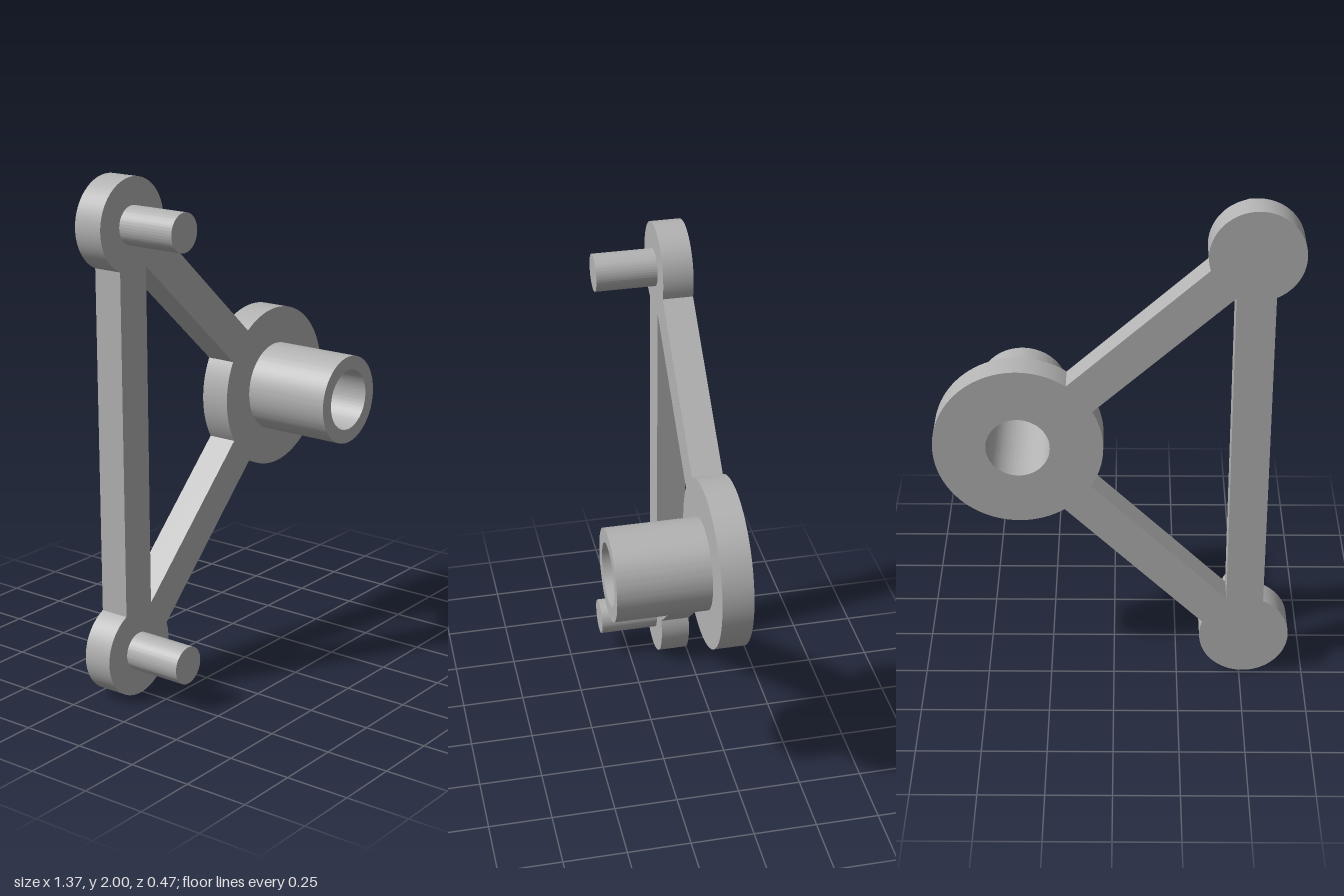
import * as THREE from 'three';
import { toCreasedNormals } from 'three/addons/utils/BufferGeometryUtils.js';

const BACK = -0.236, FRONT = -0.118, PIN_END = 0.12, TUBE_END = 0.238;
const HALF_BAR = 0.0725, BORE = 0.121, TUBE = 0.176, PIN = 0.073;

// nodes of the triangular frame, counter-clockwise
const nodes = [
  { x: 0.362, y: 1.034, r: 0.322 },
  { x: -0.514, y: 1.825, r: 0.176 },
  { x: -0.514, y: 0.177, r: 0.176 },
];
const hub = nodes[0];

const angleTo = (a, b) => Math.atan2(b.y - a.y, b.x - a.x);
const wrap = (a) => ((a % (2 * Math.PI)) + 2 * Math.PI) % (2 * Math.PI);

function arcPoints(n, start, sweep, steps) {
  return Array.from({ length: steps + 1 }, (_, i) => {
    const a = start + (sweep * i) / steps;
    return new THREE.Vector2(n.x + n.r * Math.cos(a), n.y + n.r * Math.sin(a));
  });
}

function circlePath(n, r, PathType = THREE.Path) {
  return new PathType().absarc(n.x, n.y, r, 0, Math.PI * 2, false);
}

function extrude(shape, z0, z1) {
  const geo = new THREE.ExtrudeGeometry(shape, { depth: z1 - z0, bevelEnabled: false, curveSegments: 64 });
  geo.translate(0, 0, z0);
  return toCreasedNormals(geo, 0.5);
}

// frame plate: rounded nodes joined by straight bars, with a triangular opening
function frameShape() {
  const outer = [], inner = [];
  nodes.forEach((n, i) => {
    const toPrev = angleTo(n, nodes[(i + 2) % 3]);
    const toNext = angleTo(n, nodes[(i + 1) % 3]);
    const spread = Math.asin(HALF_BAR / n.r);
    // outside arc, from the previous bar round to the next one
    outer.push(...arcPoints(n, toPrev + spread, wrap(toNext - toPrev) - 2 * spread, 64));
    // inside corner: hub arc where the disc shows, otherwise where the bar edges meet
    const gap = wrap(toPrev - toNext);
    const reach = HALF_BAR / Math.sin(gap / 2);
    if (reach < n.r) {
      inner.push(...arcPoints(n, toPrev - spread, -(gap - 2 * spread), 20));
    } else {
      const mid = toNext + gap / 2;
      inner.push(new THREE.Vector2(n.x + reach * Math.cos(mid), n.y + reach * Math.sin(mid)));
    }
  });
  const shape = new THREE.Shape(outer);
  shape.holes.push(new THREE.Path(inner), circlePath(hub, BORE));
  return shape;
}

export function createModel() {
  const group = new THREE.Group();
  group.name = 'triangularBracket';
  const grey = new THREE.MeshStandardMaterial({ color: 0xb3b3b3 });
  grey.name = 'grey';

  const add = (name, geo) => {
    const mesh = new THREE.Mesh(geo, grey);
    mesh.name = name;
    group.add(mesh);
  };

  add('framePlate', extrude(frameShape(), BACK, FRONT));

  // hollow hub sleeve
  const ring = circlePath(hub, TUBE, THREE.Shape);
  ring.holes.push(circlePath(hub, BORE));
  add('hubSleeve', extrude(ring, FRONT, TUBE_END));

  // locating pins
  ['upperPin', 'lowerPin'].forEach((name, i) => {
    add(name, extrude(circlePath(nodes[i + 1], PIN, THREE.Shape), FRONT, PIN_END));
  });

  return group;
}
